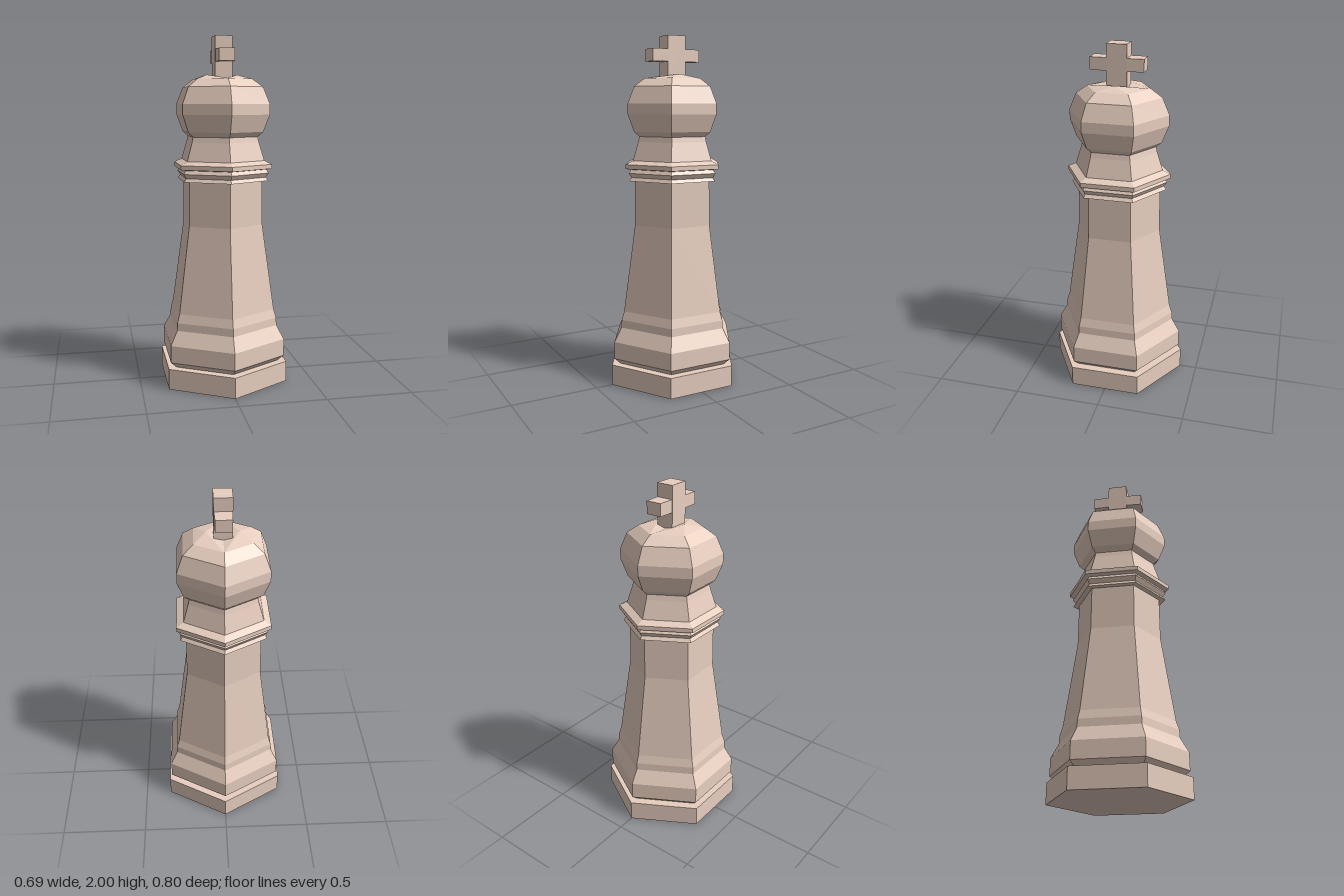
import * as THREE from 'three';

const material = new THREE.MeshStandardMaterial({ color: 0xe8cfc0, flatShading: true });

function addMesh(group, name, geometry, y = 0) {
  const mesh = new THREE.Mesh(geometry, material);
  mesh.name = name;
  mesh.position.y = y;
  group.add(mesh);
}

// Six-sided turned part with corners on +z and -z; points are [radius, height]
function hexLathe(points) {
  return new THREE.LatheGeometry(points.map(([r, y]) => new THREE.Vector2(r, y)), 6);
}

// Shallow crown: two low peaks with a dip between them
function crownGeometry(radius, y) {
  const positions = [];
  const dip = [0, y + 0.005, 0];
  for (const s of [1, -1]) {
    const peak = [s * 0.088, y + 0.025, 0];
    const rim = [0, 1, 2, 3].map((i) => {
      const a = i * Math.PI / 3;
      return [s * radius * Math.sin(a), y, s * radius * Math.cos(a)];
    });
    const loop = [dip, ...rim];
    loop.forEach((p, i) => positions.push(...peak, ...p, ...loop[(i + 1) % loop.length]));
  }
  const geometry = new THREE.BufferGeometry();
  geometry.setAttribute('position', new THREE.Float32BufferAttribute(positions, 3));
  geometry.computeVertexNormals();
  return geometry;
}

export function createModel() {
  const group = new THREE.Group();
  group.name = 'chessKing';

  addMesh(group, 'plinth', hexLathe([[0, 0], [0.4, 0], [0.4, 0.12], [0, 0.12]]));

  addMesh(group, 'foot', hexLathe([
    [0.345, 0.12], [0.385, 0.155], [0.384, 0.255], [0.338, 0.335], [0.336, 0.38], [0.32, 0.43],
  ]));

  addMesh(group, 'shaft', hexLathe([[0.32, 0.43], [0.246, 0.93], [0.243, 1.185]]));

  addMesh(group, 'collar', hexLathe([
    [0.243, 1.185], [0.28, 1.185], [0.265, 1.205], [0.283, 1.23], [0.268, 1.25],
    [0.302, 1.255], [0.302, 1.28], [0.256, 1.3],
  ]));

  addMesh(group, 'neck', hexLathe([[0.256, 1.3], [0.222, 1.405], [0.215, 1.435]]));

  addMesh(group, 'head', hexLathe([
    [0.215, 1.435], [0.248, 1.463], [0.286, 1.56], [0.286, 1.62], [0.245, 1.715], [0.18, 1.76],
  ]));

  addMesh(group, 'crown', crownGeometry(0.18, 1.76));

  // Cross, with its arms along z narrowing slightly toward the ends
  addMesh(group, 'crossPost', new THREE.BoxGeometry(0.1, 0.26, 0.114), 1.87);
  const arms = new THREE.BoxGeometry(0.1, 0.07, 0.3, 1, 1, 2);
  const p = arms.attributes.position;
  for (let i = 0; i < p.count; i++) {
    if (Math.abs(p.getZ(i)) > 0.1) p.setX(i, p.getX(i) * 0.9);
    else p.setX(i, p.getX(i) * 0.99);
  }
  addMesh(group, 'crossArms', arms, 1.89);

  return group;
}
